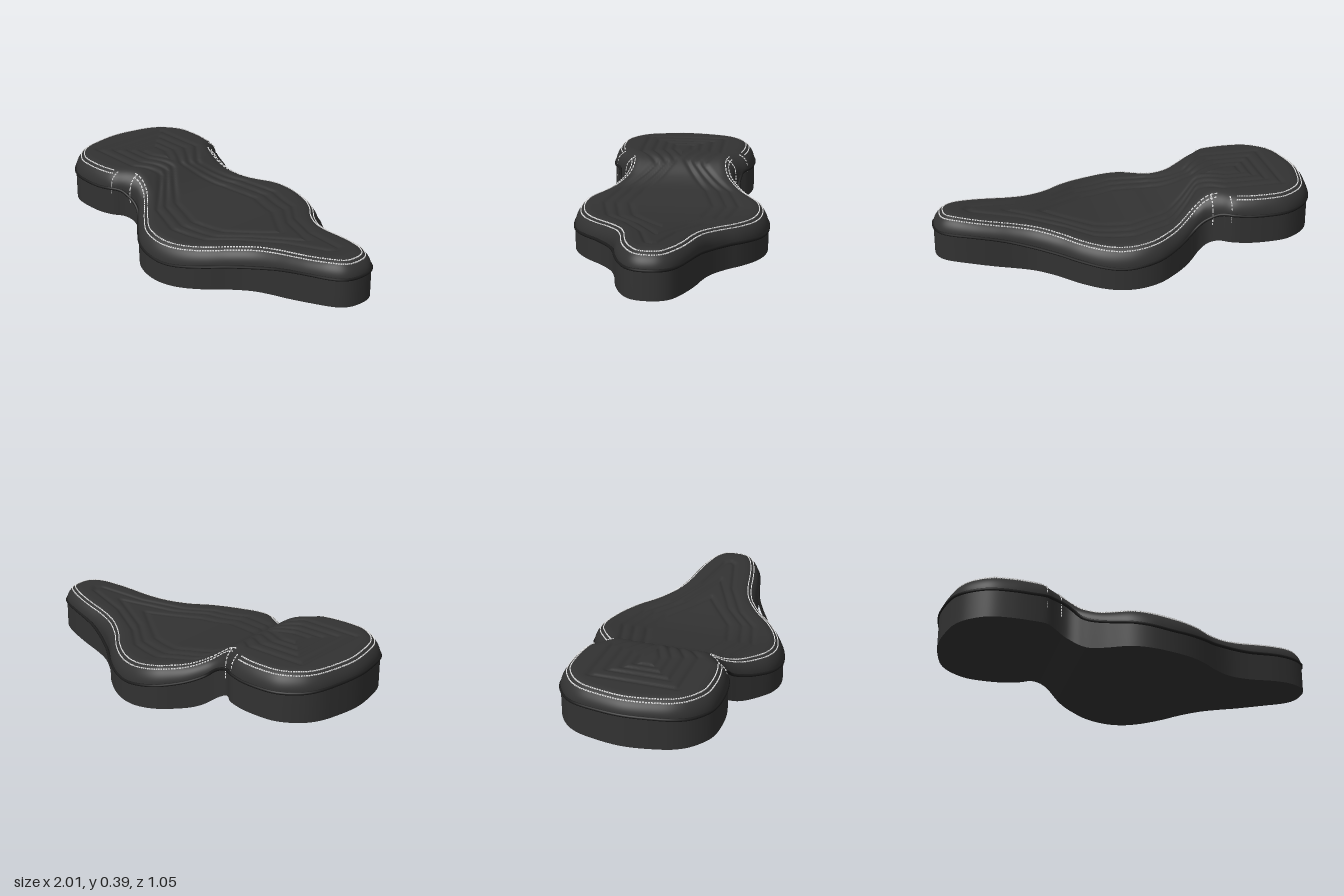
import * as THREE from 'three';
import { mergeGeometries } from 'three/addons/utils/BufferGeometryUtils.js';

// Smooth interpolation through [x, value] pairs
function profile(pts) {
  const slope = (i) => {
    const a = pts[Math.max(i - 1, 0)], b = pts[Math.min(i + 1, pts.length - 1)];
    return (b[1] - a[1]) / (b[0] - a[0]);
  };
  return (x) => {
    if (x <= pts[0][0]) return pts[0][1];
    for (let i = 0; i < pts.length - 1; i++) {
      const [x0, y0] = pts[i], [x1, y1] = pts[i + 1];
      if (x > x1) continue;
      const h = x1 - x0, t = (x - x0) / h, u = 1 - t;
      return y0 * (1 + 2 * t) * u * u + slope(i) * h * t * u * u
        + y1 * t * t * (3 - 2 * t) - slope(i + 1) * h * t * t * u;
    }
    return pts[pts.length - 1][1];
  };
}

// Side profile: underside, piping line and crown
const bottomY = profile([[-1, .14], [-.6, .14], [-.46, .14], [-.38, .105], [-.3, .05], [-.24, .03], [-.1, .015],
  [.1, .002], [.3, .012], [.6, .035], [.85, .065], [1, .07]]);
const pipeY = profile([[-1, .31], [-.9, .295], [-.6, .29], [-.46, .295], [-.38, .265], [-.3, .205], [-.2, .165],
  [0, .13], [.12, .12], [.3, .14], [.5, .17], [.8, .213], [1, .22]]);
const topY = profile([[-1, .393], [-.6, .393], [-.46, .39], [-.4, .37], [-.3, .3], [-.22, .262], [-.1, .245],
  [.1, .226], [.3, .236], [.5, .26], [.8, .295], [.9, .305], [1, .3]]);

// Plan outline, one side, mirrored into a closed loop
const half = [[-.98, .15], [-.95, .25], [-.9, .32], [-.8, .385], [-.68, .4], [-.56, .39], [-.5, .372], [-.45, .33],
  [-.4, .305], [-.35, .315], [-.3, .35], [-.2, .43], [-.1, .495], [0, .517], [.1, .507], [.2, .47], [.3, .405],
  [.4, .315], [.5, .25], [.6, .218], [.7, .2], [.8, .178], [.9, .142], [.96, .1], [.985, .055]];
const loop = [[-1, 0], ...half, [.992, 0], ...half.map(([x, z]) => [x, -z]).reverse()];
const N = 360;
const outline = new THREE.CatmullRomCurve3(loop.map(([x, z]) => new THREE.Vector3(x, 0, z)), true)
  .getSpacedPoints(N).slice(0, N);
const at = (i) => outline[(i + N) % N];

function segmentDistance(x, z, ax, az, bx, bz) {
  const dx = bx - ax, dz = bz - az;
  const t = THREE.MathUtils.clamp(((x - ax) * dx + (z - az) * dz) / (dx * dx + dz * dz || 1), 0, 1);
  return Math.hypot(x - ax - dx * t, z - az - dz * t);
}
function edgeDistance(x, z) {
  let d = 9;
  for (let i = 0; i < N; i++) d = Math.min(d, segmentDistance(x, z, at(i).x, at(i).z, at(i + 1).x, at(i + 1).z));
  return d;
}

// Quilting lines: nested steps at the rear running into nested diamonds at the front
const quilting = [
  [[-.82, 0], [-.82, .225], [-.5, .225], [-.38, .13], [-.2, .3], [0, .36], [.2, .31], [.33, .2], [.55, .09], [.8, .03], [.82, 0]],
  [[-.75, 0], [-.75, .16], [-.52, .16], [-.39, .08], [-.2, .24], [0, .295], [.2, .25], [.35, .13], [.62, 0]],
  [[-.7, 0], [-.7, .1], [-.54, .1], [-.4, .03], [-.2, .17], [0, .225], [.18, .18], [.43, 0]],
  [[-.65, 0], [-.65, .05], [-.56, .05], [-.45, 0]],
];
function cushionY(x, z) {
  const e = Math.min(edgeDistance(x, z) / .09, 1);
  const rise = Math.sqrt(1 - (1 - e) ** 2);
  let d = 9;
  for (const line of quilting)
    for (let i = 0; i < line.length - 1; i++)
      d = Math.min(d, segmentDistance(x, Math.abs(z), ...line[i], ...line[i + 1]));
  return pipeY(x) + (topY(x) - pipeY(x)) * rise - .009 * Math.exp(-((d / .013) ** 2));
}

// Closed rings of points joined into a surface
function loft(rows, pointAt) {
  const pos = [], index = [];
  for (let k = 0; k <= rows; k++) for (let i = 0; i < N; i++) pos.push(...pointAt(k / rows, at(i)));
  for (let k = 0; k < rows; k++)
    for (let i = 0; i < N; i++) {
      const j = (i + 1) % N, a = k * N + i, b = k * N + j;
      index.push(a, b, b + N, a, b + N, a + N);
    }
  const geo = new THREE.BufferGeometry();
  geo.setAttribute('position', new THREE.Float32BufferAttribute(pos, 3));
  geo.setIndex(index);
  geo.computeVertexNormals();
  return geo;
}
// Point moved from the outline toward the spine by fraction f
function inward(p, f) {
  const sx = THREE.MathUtils.clamp(p.x, -.62, .85);
  return [p.x + (sx - p.x) * f, p.z * (1 - f)];
}

// One thread stitch between two points
function stitch(a, b) {
  const o = new THREE.Object3D();
  o.position.copy(a).lerp(b, .5);
  o.lookAt(b);
  o.updateMatrix();
  return new THREE.BoxGeometry(.005, .005, a.distanceTo(b) * .68).applyMatrix4(o.matrix);
}

export function createModel() {
  const group = new THREE.Group();
  const material = (name, color) => {
    const m = new THREE.MeshStandardMaterial({ color });
    m.name = name;
    return m;
  };
  const leather = material('charcoal leather', 0x323232);
  const trim = material('black piping', 0x1c1c1c);
  const thread = material('white thread', 0xe2e2e2);
  const add = (name, geo, mat) => {
    const mesh = new THREE.Mesh(geo, mat);
    mesh.name = name;
    group.add(mesh);
  };

  // Padded top, side skirt and underside
  add('cushion', loft(60, (t, p) => {
    const [x, z] = inward(p, t ** 1.5);
    return [x, cushionY(x, z), z];
  }), leather);
  add('sideSkirt', loft(6, (t, p) => [p.x, THREE.MathUtils.lerp(bottomY(p.x), pipeY(p.x), t), p.z]), leather);
  add('underside', loft(12, (t, p) => {
    const [x, z] = inward(p, 1 - t);
    return [x, bottomY(x), z];
  }), leather);

  // Piping cord, bridging the waist and the flanks of the nose
  const bump = (x, c, w) => Math.exp(-(((x - c) / w) ** 2));
  const cord = outline.filter((_, i) => i % 3 === 0).map((p) => {
    const out = .035 * bump(p.x, -.4, .06) + .03 * bump(p.x, .48, .14);
    return new THREE.Vector3(p.x, pipeY(p.x), p.z + Math.sign(p.z) * out);
  });
  add('piping', new THREE.TubeGeometry(new THREE.CatmullRomCurve3(cord, true), 240, .008, 8, true), trim);

  // Twin stitch rows around the cushion, broken at the waist
  const stitches = [];
  const seam = (i, d) => {
    const t = at(i + 1).clone().sub(at(i - 1)).normalize();
    const x = at(i).x + t.z * d, z = at(i).z - t.x * d;
    return new THREE.Vector3(x, cushionY(x, z) + .002, z);
  };
  for (const d of [.032, .05])
    for (let i = 0; i < N; i++) {
      const x = at(i).x;
      if (x < -.51 || x > -.42) stitches.push(stitch(seam(i, d), seam(i + 1, d)));
    }
  // Stitches running down each side of the waist
  for (const x of [-.505, -.42])
    for (const side of [1, -1]) {
      let k = 0;
      while (k < N - 1 && at(k).x < x) k++;
      const w = at(k).z, path = [];
      for (const d of [.05, .036, .024, .013, .005])
        path.push(new THREE.Vector3(x, cushionY(x, w - d) + .002, side * (w - d + .002)));
      for (let j = 0; j < 5; j++) path.push(new THREE.Vector3(x, pipeY(x) - j * .016, side * (w + .002)));
      for (let j = 0; j < path.length - 1; j++) stitches.push(stitch(path[j], path[j + 1]));
    }
  add('stitching', mergeGeometries(stitches), thread);
  return group;
}
